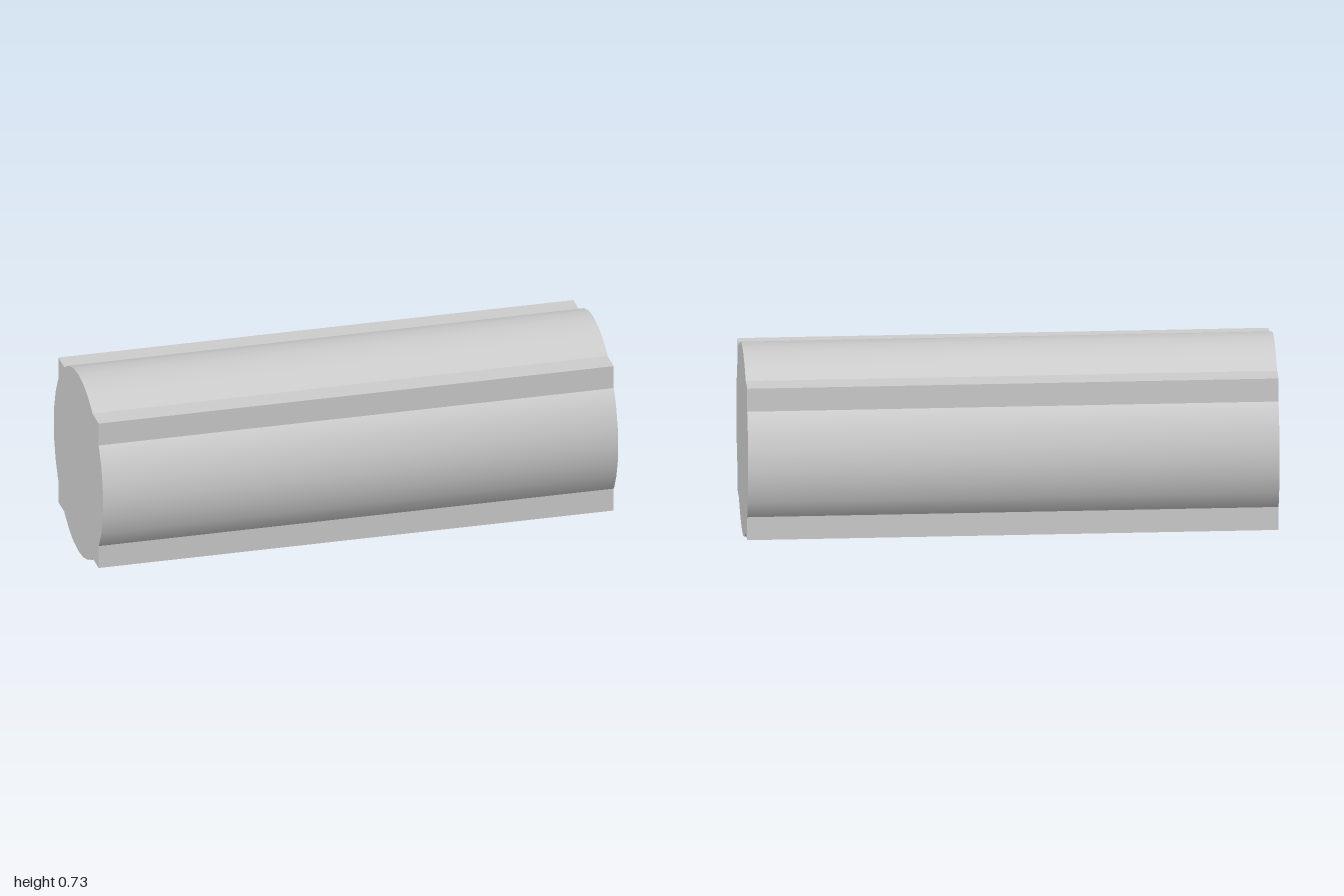
import * as THREE from 'three';
import { toCreasedNormals } from 'three/addons/utils/BufferGeometryUtils.js';

export function createModel() {
  const group = new THREE.Group();
  const grey = new THREE.MeshStandardMaterial({ color: 0xcccccc });
  grey.name = 'light grey';

  const length = 2;
  const radius = 0.367; // round bar, 32 sides
  const half = 0.3; // half width of the square bar
  const meet = 0.209; // where the round and square bars cross
  const step = Math.PI / 16;

  // One side of the section: arc bulging past the square, then a corner
  const side = [[half, -meet]];
  for (let i = -3; i <= 3; i++) side.push([radius * Math.cos(i * step), radius * Math.sin(i * step)]);
  side.push([half, meet], [half, half]);

  // Repeat it by quarter turns for the whole outline
  const center = new THREE.Vector2();
  const outline = [];
  for (let q = 0; q < 4; q++) {
    for (const [x, y] of side) outline.push(new THREE.Vector2(x, y).rotateAround(center, q * Math.PI / 2));
  }

  // Extrude along x; round faces stay smooth, square edges sharp
  const geometry = new THREE.ExtrudeGeometry(new THREE.Shape(outline), { depth: length, bevelEnabled: false });
  geometry.translate(0, 0, -length / 2);
  geometry.rotateY(Math.PI / 2);

  const bar = new THREE.Mesh(toCreasedNormals(geometry, 0.4), grey);
  bar.name = 'corneredRoundBar';
  bar.position.y = radius;
  group.add(bar);
  return group;
}
